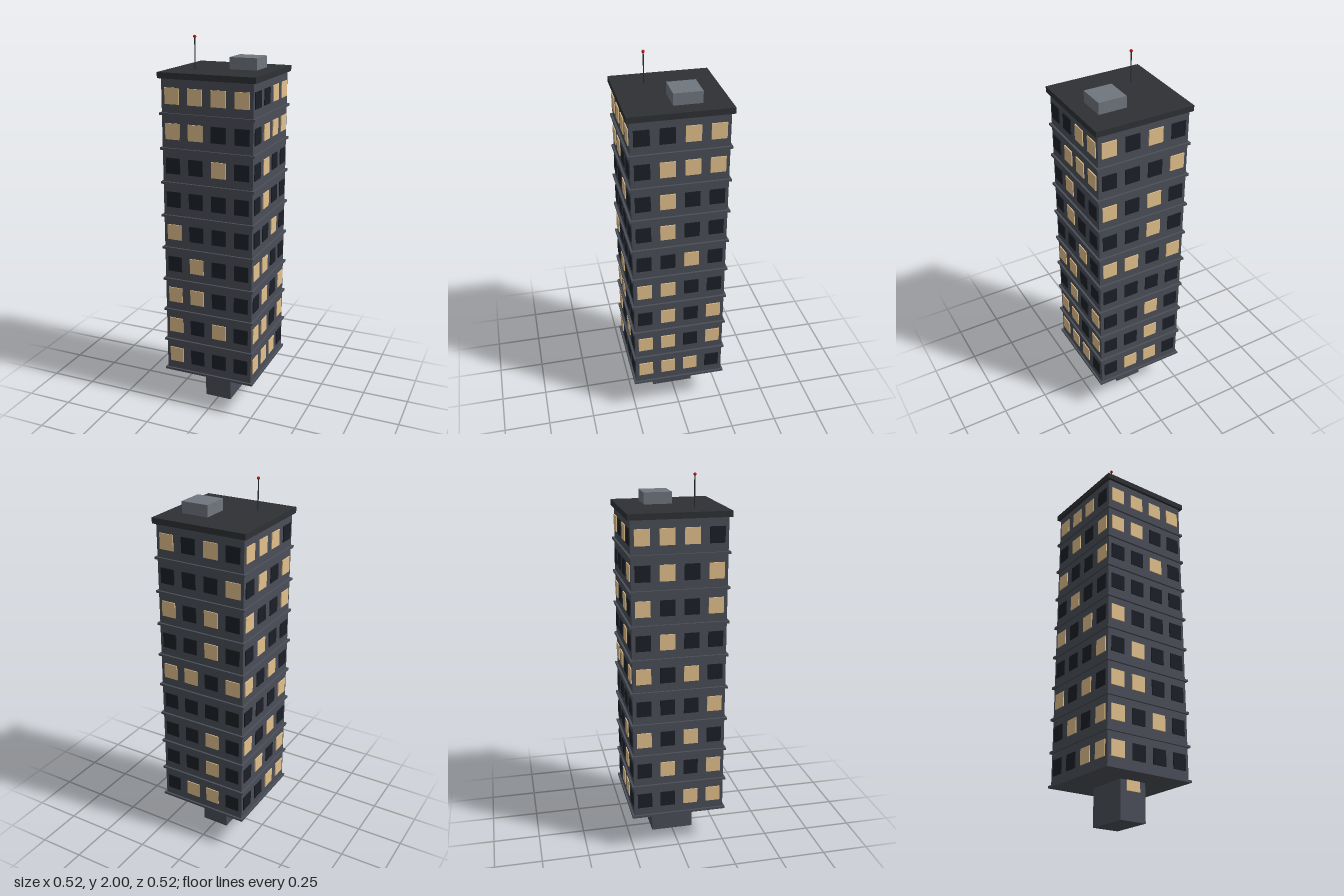
import * as THREE from 'three';

const material = (color) => new THREE.MeshStandardMaterial({ color });

export function createModel() {
  const tower = new THREE.Group();
  tower.name = 'towerBlock';
  const wall = material(0x4a4e57), roofDark = material(0x2f3034), plant = material(0x70767e);
  const lit = material(0xe2c08c), dark = material(0x1b2027), red = material(0xc8201a);

  const add = (parent, name, geometry, mat, x, y, z) => {
    const mesh = new THREE.Mesh(geometry, mat);
    mesh.name = name;
    mesh.position.set(x, y, z);
    parent.add(mesh);
    return mesh;
  };
  const box = (w, h, d) => new THREE.BoxGeometry(w, h, d);

  const base = 0.2, pitch = 0.1775, floors = 9, top = 1.8;

  // Narrow entrance core under the tower, with a window at front and back
  add(tower, 'entranceCore', box(0.15, base, 0.23), wall, 0, base / 2, 0);
  add(tower, 'entranceWindowFront', box(0.08, 0.055, 0.01), lit, 0, 0.1725, 0.115);
  add(tower, 'entranceWindowBack', box(0.08, 0.055, 0.01), dark, 0, 0.1725, -0.115);

  // Main shaft with a thin ledge at the foot of every floor
  add(tower, 'shaft', box(0.49, top - base, 0.49), wall, 0, (top + base) / 2, 0);
  for (let i = 0; i < floors; i++) {
    add(tower, 'floorLedge', box(0.512, 0.012, 0.512), wall, 0, base + 0.004 + i * pitch, 0);
  }

  // Windows: top floor first, left to right as seen facing each side; 1 is lit
  const facades = [
    ['front', 0, '1111 1100 0010 0000 1000 0100 1100 1010 1000'],
    ['left', Math.PI / 2, '0011 0111 0100 0100 0010 1100 0101 1101 1110'],
    ['back', Math.PI, '1010 0001 1010 0010 1101 0000 0010 0010 0110'],
    ['right', -Math.PI / 2, '1110 0101 1001 0100 1010 0001 1010 0101 0011'],
  ];
  const pane = box(0.078, 0.082, 0.01);
  for (const [side, angle, pattern] of facades) {
    const facade = new THREE.Group();
    facade.name = side + 'Windows';
    facade.rotation.y = angle;
    pattern.split(' ').forEach((row, r) => {
      const y = 0.295 + (floors - 1 - r) * pitch;
      [...row].forEach((state, c) => {
        add(facade, 'window', pane, state === '1' ? lit : dark, (c - 1.5) * 0.125, y, 0.245);
      });
    });
    tower.add(facade);
  }

  // Roof slab, plant room and aerial with a warning light
  add(tower, 'roofSlab', box(0.52, 0.03, 0.52), roofDark, 0, 1.815, 0);
  add(tower, 'plantRoom', box(0.148, 0.06, 0.146), plant, 0.1, 1.86, -0.052);
  add(tower, 'aerial', new THREE.CylinderGeometry(0.003, 0.003, 0.16, 8), roofDark, -0.127, 1.91, 0.1);
  add(tower, 'warningLight', new THREE.SphereGeometry(0.008, 12, 8), red, -0.127, 1.992, 0.1);

  return tower;
}
